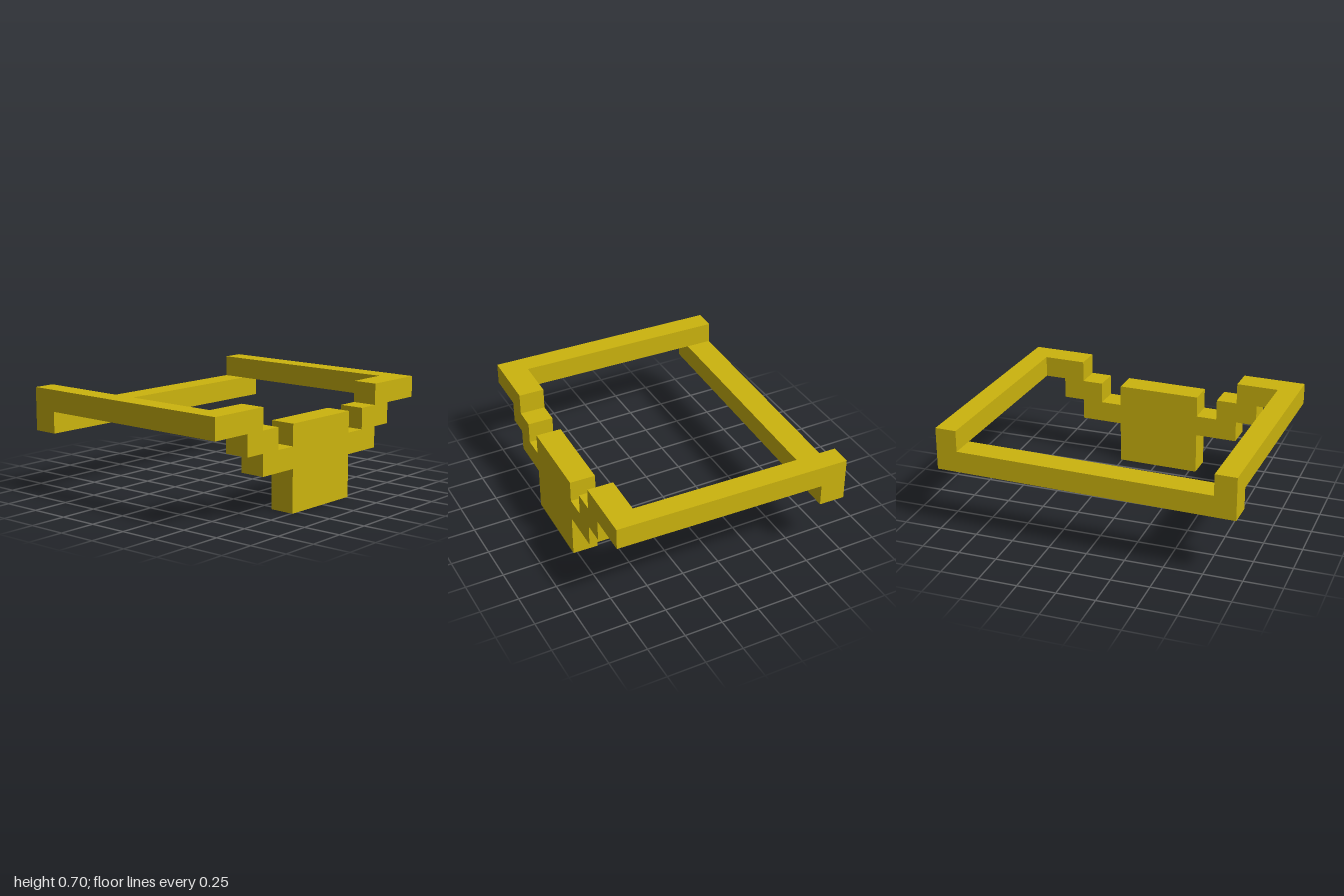
import * as THREE from 'three';

const U = 0.1397;            // one block
const HALF_W = 7 * U;        // half width of the frame
const HALF_D = 0.767;        // half depth of the frame
const THICK = 0.167;         // depth of the front and back pieces

export function createModel() {
  const model = new THREE.Group();
  model.name = 'steppedFrame';
  const material = new THREE.MeshStandardMaterial({ color: 0xccb40e, flatShading: true });

  const add = (name, geometry, x, y, z) => {
    const mesh = new THREE.Mesh(geometry, material);
    mesh.name = name;
    mesh.position.set(x, y, z);
    model.add(mesh);
  };

  // Front panel: half of the stepped outline in blocks, mirrored across x
  const half = [[2, 0], [2, 2], [4, 2], [4, 3], [5, 3], [5, 4], [7, 4], [7, 5],
    [4, 5], [4, 4], [3, 4], [3, 3], [2, 3], [2, 4]];
  const outline = [...half, ...half.map(([x, y]) => [-x, y]).reverse()];
  const shape = new THREE.Shape(outline.map(([x, y]) => new THREE.Vector2(x * U, y * U)));
  add('frontPanel', new THREE.ExtrudeGeometry(shape, { depth: THICK, bevelEnabled: false }),
    0, 0, HALF_D - THICK);

  // Side rails, running from the back edge to the front panel
  const railLength = 2 * HALF_D - THICK;
  for (const [name, side] of [['leftRail', 1], ['rightRail', -1]]) {
    add(name, new THREE.BoxGeometry(U, U, railLength),
      side * (HALF_W - U / 2), 4.5 * U, -THICK / 2);
  }

  // Back bar, one block lower, under the rail ends
  add('backBar', new THREE.BoxGeometry(2 * HALF_W, U, THICK), 0, 3.5 * U, -HALF_D + THICK / 2);

  // The whole frame sits slightly turned
  model.rotation.y = -0.028;
  return model;
}
